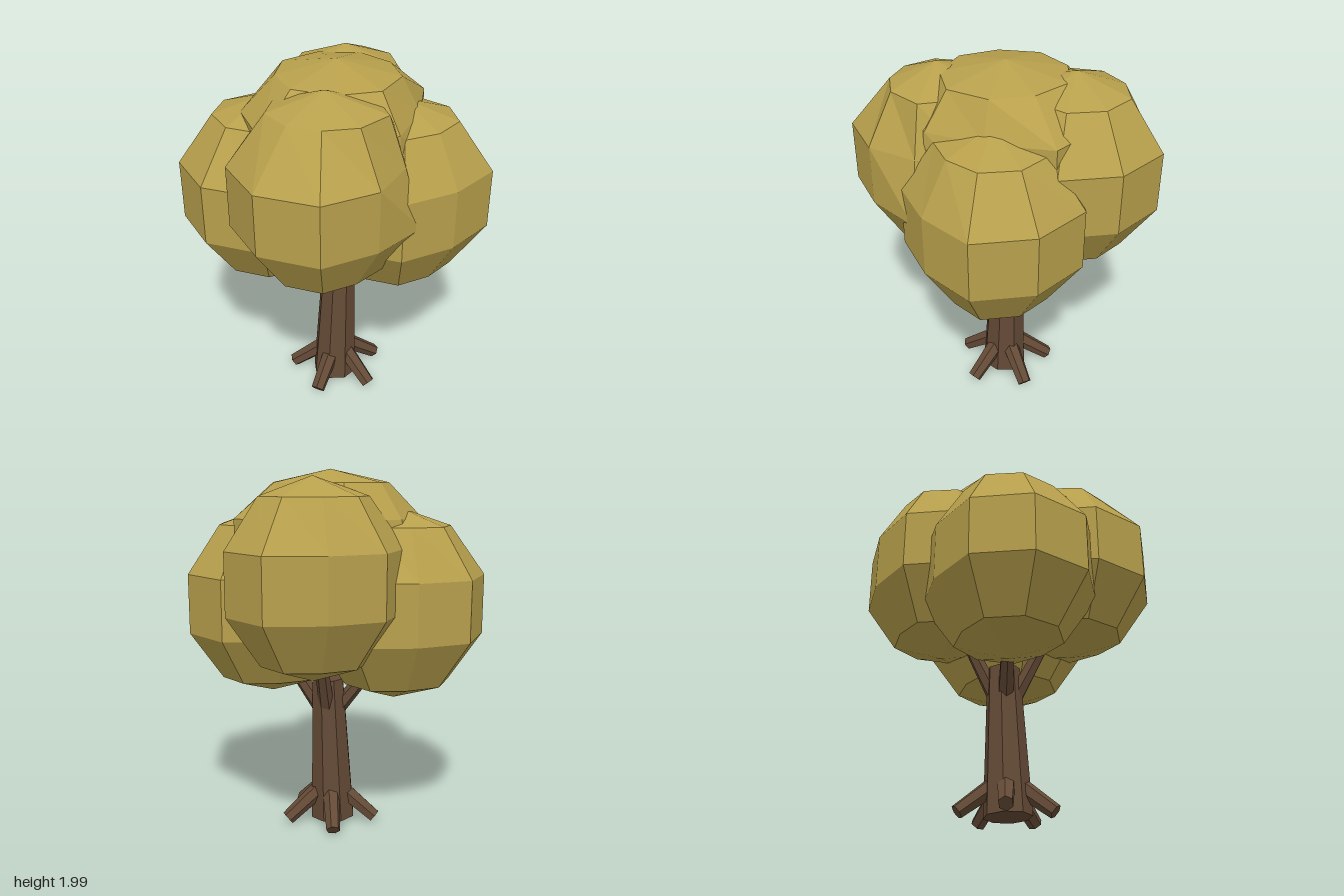
import * as THREE from 'three';

const UP = new THREE.Vector3(0, 1, 0);
const SIDES = 9;

// Tapered prism between two points
function limb(name, a, b, rA, rB, sides, material) {
  const from = new THREE.Vector3(...a);
  const dir = new THREE.Vector3(...b).sub(from);
  const geo = new THREE.CylinderGeometry(rB, rA, dir.length(), sides);
  const mesh = new THREE.Mesh(geo, material);
  mesh.name = name;
  mesh.position.copy(from).addScaledVector(dir, 0.5);
  mesh.quaternion.setFromUnitVectors(UP, dir.normalize());
  return mesh;
}

// Faceted leaf clump: nine-sided ball whose meridians bulge by factors,
// given for the ring under the top, the shoulder ring and the lower rings
function clump(name, [x, y, z], r, ry, [top, shoulder, lower], material) {
  const geo = new THREE.SphereGeometry(1, SIDES, 5).rotateY(Math.PI);
  const p = geo.attributes.position;
  for (let i = 0; i < p.count; i++) {
    const px = p.getX(i), py = p.getY(i), pz = p.getZ(i);
    const step = (Math.round(Math.atan2(pz, px) / (Math.PI * 2 / SIDES)) + SIDES) % SIDES;
    const ring = py > 0.5 ? top : py > 0 ? shoulder : lower;
    p.setXYZ(i, px * r * ring[step], py * ry, pz * r * ring[step]);
  }
  geo.computeVertexNormals();
  const mesh = new THREE.Mesh(geo, material);
  mesh.name = name;
  mesh.position.set(x, y, z);
  return mesh;
}

export function createModel() {
  const tree = new THREE.Group();
  tree.name = 'tree';
  const bark = new THREE.MeshStandardMaterial({ color: 0x644a36, flatShading: true });
  bark.name = 'bark brown';
  const leaves = new THREE.MeshStandardMaterial({ color: 0xb8a04c, flatShading: true });
  leaves.name = 'olive leaves';

  // Trunk, leaning a little
  tree.add(limb('trunk', [-0.015, 0.025, 0], [0.018, 0.85, -0.005], 0.13, 0.092, 8, bark));

  // Five splayed roots
  for (let i = 0; i < 5; i++) {
    const a = i * Math.PI * 2 / 5, c = Math.cos(a), s = Math.sin(a);
    tree.add(limb('root', [0.06 * c, 0.195, 0.06 * s], [0.262 * c, 0.037, 0.262 * s], 0.05, 0.04, 6, bark));
  }

  // Outer leaf clumps, each reached by a branch ending at the given reach and height
  const dented = [1, 1.02, 0.89, 0.99, 1.02, 1.02, 0.99, 0.89, 1.02];
  const roundRings = [[1, 1, 0.93, 1, 1, 1, 1, 0.93, 1], dented, dented];
  const frontRings = [
    [1, 1.08, 0.93, 0.84, 0.88, 0.97, 1, 0.95, 1],
    [0.95, 0.85, 0.89, 0.99, 1.02, 1.02, 0.99, 0.89, 1],
    [1, 1.04, 0.89, 0.99, 1.02, 1.02, 0.99, 0.89, 1.02],
  ];
  const clumps = [
    ['frontRightLeaves', [-0.22, 1.44, 0.28], 0.495, frontRings, 0.2, 0.98],
    ['frontLeftLeaves', [0.275, 1.28, 0.2], 0.498, roundRings, 0.22, 0.9],
    ['backLeftLeaves', [0.21, 1.44, -0.29], 0.485, roundRings, 0.2, 0.98],
    ['backRightLeaves', [-0.3, 1.28, -0.2], 0.498, roundRings, 0.22, 0.9],
  ];
  for (const [name, pos, r, rings, reach, height] of clumps) {
    tree.add(clump(name, pos, r, 0.525, rings, leaves));
    const h = Math.hypot(pos[0], pos[2]), c = pos[0] / h, s = pos[2] / h;
    tree.add(limb('branch', [0.01 + 0.04 * c, 0.66, 0.04 * s], [reach * c, height, reach * s], 0.046, 0.036, 6, bark));
  }

  // Wide crown on top, its shoulders drawn in above the lower clumps
  const crownRings = [
    [0.95, 1, 1.05, 1, 1, 0.95, 1, 1, 1],
    [1, 0.8, 0.9, 1, 1.02, 0.92, 0.86, 0.87, 1],
    [1, 0.95, 0.95, 1, 1, 1, 0.95, 0.95, 1],
  ];
  tree.add(clump('crownLeaves', [0, 1.63, 0], 0.567, 0.37, crownRings, leaves));
  return tree;
}
